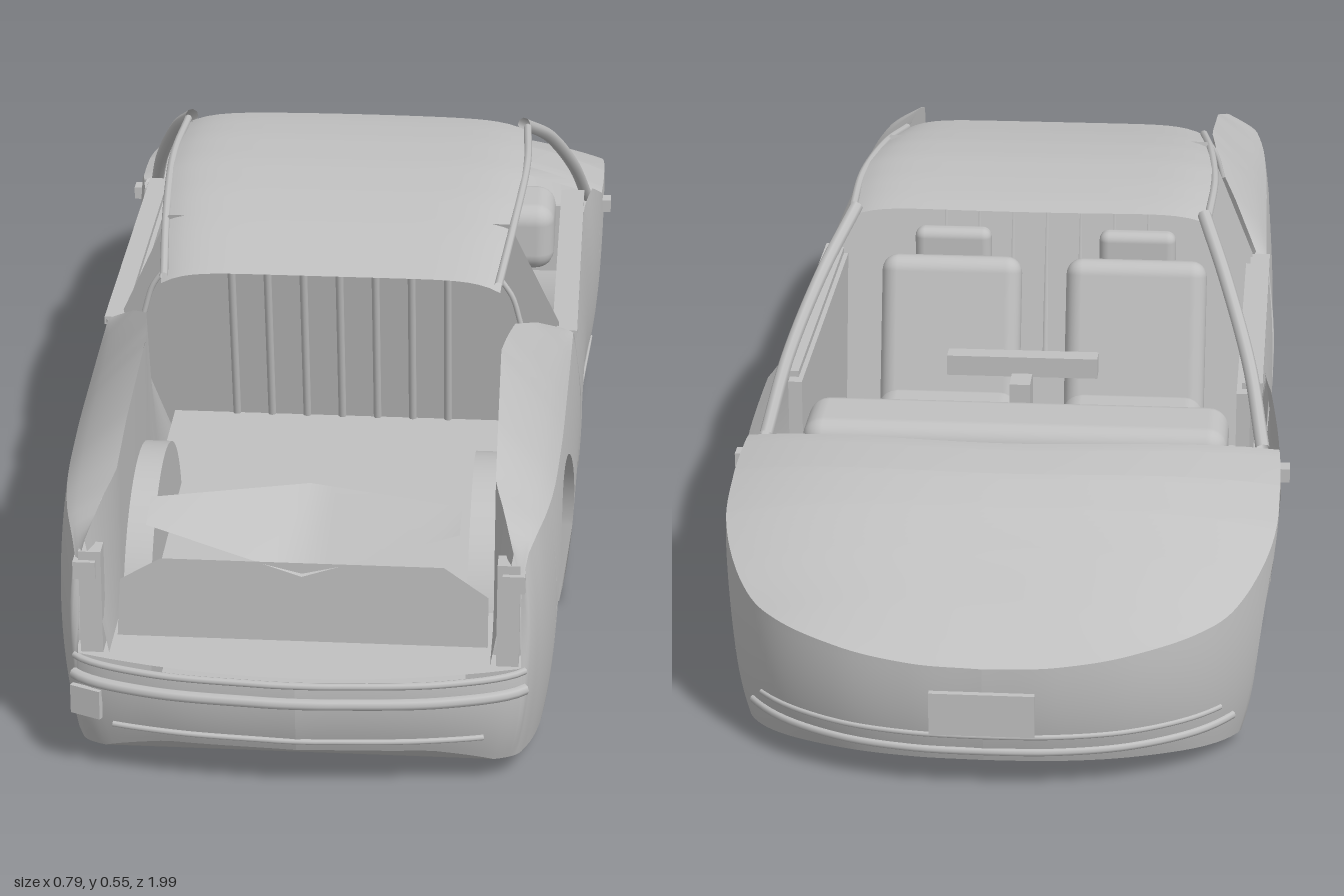
import * as THREE from 'three';
import { RoundedBoxGeometry } from 'three/addons/geometries/RoundedBoxGeometry.js';

const paint = new THREE.MeshStandardMaterial({ color: 0xc0c0c0, side: THREE.DoubleSide });
paint.name = 'light grey';

const range = (a, b, n) => Array.from({ length: n + 1 }, (_, i) => a + (b - a) * i / n);
const mix = THREE.MathUtils.lerp;
const smooth = THREE.MathUtils.smoothstep;

// Piecewise linear value through [z, value] pairs
function along(pairs, z) {
  if (z <= pairs[0][0]) return pairs[0][1];
  for (let i = 1; i < pairs.length; i++) {
    const [a, p] = pairs[i - 1], [b, q] = pairs[i];
    if (z <= b) return mix(p, q, (z - a) / (b - a));
  }
  return pairs[pairs.length - 1][1];
}

// Grid surface from f(u, v) -> [x, y, z]
function sheet(us, vs, f) {
  const pos = [], idx = [], n = vs.length;
  for (const u of us) for (const v of vs) pos.push(...f(u, v));
  for (let i = 0; i < us.length - 1; i++) for (let j = 0; j < n - 1; j++) {
    const a = i * n + j;
    idx.push(a, a + 1, a + n, a + 1, a + n + 1, a + n);
  }
  const g = new THREE.BufferGeometry();
  g.setAttribute('position', new THREE.Float32BufferAttribute(pos, 3));
  g.setIndex(idx);
  g.computeVertexNormals();
  return g;
}

// Plan outline of one side, nose to tail
const outline = new THREE.CatmullRomCurve3([
  [0, -0.994], [0.1, -0.988], [0.2, -0.962], [0.29, -0.903], [0.35, -0.82], [0.382, -0.72], [0.388, -0.6],
  [0.384, -0.45], [0.37, -0.25], [0.366, 0.1], [0.361, 0.4], [0.356, 0.6], [0.346, 0.76], [0.326, 0.87],
  [0.302, 0.925], [0.2, 0.967], [0, 0.988],
].map(([x, z]) => new THREE.Vector3(x, 0, z)));

function tAt(z) {
  let lo = 0, hi = 1;
  for (let i = 0; i < 30; i++) {
    const m = (lo + hi) / 2;
    if (outline.getPoint(m).z < z) lo = m; else hi = m;
  }
  return lo;
}

const bottom = z => along([[-1, 0.045], [-0.9, 0.03], [-0.8, 0.015], [-0.4, 0.012], [0, 0.012], [0.4, 0.002], [0.7, 0.015], [0.9, 0.033], [0.94, 0.04], [0.97, 0.065], [1, 0.07]], z);
const hoodLine = z => along([[-1, 0.185], [-0.96, 0.208], [-0.9, 0.238], [-0.8, 0.278], [-0.7, 0.31], [-0.6, 0.33], [-0.5, 0.337], [-0.45, 0.335]], z);
const crown = z => 0.035 * smooth(z, -1, -0.85);
const shoulder = z => z < -0.48 ? hoodLine(z) - crown(z)
  : along([[-0.48, 0.302], [-0.43, 0.325], [-0.38, 0.35], [0.85, 0.352], [0.912, 0.335], [0.925, 0.18], [1, 0.178]], z);
const fenderLine = z => along([[0.2, 0.358], [0.3, 0.41], [0.38, 0.442], [0.45, 0.453], [0.52, 0.455], [0.7, 0.425], [0.85, 0.38], [0.92, 0.345]], z);
const fenderInner = z => along([[0.2, 0.33], [0.38, 0.265], [0.5, 0.25], [0.8, 0.255], [0.92, 0.285]], z);

// Round wheel arches with straight lower ends
const arches = [{ z: -0.612, r: 0.182, y: 0.103 }, { z: 0.582, r: 0.193, y: 0.122 }];
const wellX = 0.217;
const archY = (a, z) => {
  const d = Math.abs(z - a.z) / a.r;
  return d > 0.9998 ? bottom(z) : a.y + a.r * Math.sqrt(1 - d * d);
};
const archZ = a => [a.z - a.r * 1.0005, ...range(0, Math.PI, 36).map(q => a.z - a.r * 0.9995 * Math.cos(q)), a.z + a.r * 1.0005];
const lowEdge = z => Math.max(bottom(z), ...arches.map(a => archY(a, z)));

// Body surface with tucked sill and shoulder, fuller at the front fenders
function skin(t, y) {
  const p = outline.getPoint(t), b = bottom(p.z), top = Math.max(shoulder(p.z), 0.25);
  const f = THREE.MathUtils.clamp((y - b) / (top - b), 0, 1);
  const tuck = mix(0.015, 0.05, smooth(p.z, -0.5, -0.3)) * f ** 3 + 0.065 * (1 - f) ** 3;
  const end = smooth(Math.abs(p.z), 0.8, 0.98);
  return [p.x * (1 - tuck), y, p.z * (1 - tuck * 0.4 * end)];
}

const stations = [...range(0, 1, 130), tAt(-0.48), tAt(0.912), tAt(0.925),
  ...arches.flatMap(a => archZ(a).map(tAt))].sort((p, q) => p - q);

export function createModel() {
  const model = new THREE.Group();
  const add = (name, geo, x = 0, y = 0, z = 0) => {
    const m = new THREE.Mesh(geo, paint);
    m.name = name;
    m.position.set(x, y, z);
    model.add(m);
    return m;
  };
  const box = (name, w, h, d, x, y, z) => add(name, new THREE.BoxGeometry(w, h, d), x, y, z);
  const soft = (name, w, h, d, x, y, z, r = 0.02) => add(name, new RoundedBoxGeometry(w, h, d, 3, r), x, y, z);
  const tube = (name, pts, r) => add(name, new THREE.TubeGeometry(
    new THREE.CatmullRomCurve3(pts.map(p => new THREE.Vector3(...p))), 40, r, 8));

  for (const s of [-1, 1]) {
    const side = s > 0 ? 'left' : 'right';
    const mirror = ([x, y, z]) => [x * s, y, z];

    // Outer side panel from nose to tail, cut by the wheel arches
    add(side + 'SidePanel', sheet(stations, range(0, 1, 14), (t, v) => {
      const z = outline.getPoint(t).z;
      return mirror(skin(t, mix(lowEdge(z), shoulder(z), v)));
    }));

    // Rear fender top and engine bay wall
    add(side + 'RearFender', sheet(range(0.2, 0.915, 36), range(0, 1, 8), (z, v) => {
      const [x, y] = skin(tAt(z), shoulder(z));
      return mirror([mix(x, fenderInner(z), v), mix(y, fenderLine(z), Math.pow(v, 0.85)), z]);
    }));
    add(side + 'BayWall', sheet(range(0.2, 0.915, 30), [0, 1], (z, v) =>
      mirror([mix(fenderInner(z), 0.255, v), mix(fenderLine(z), 0.18, v), z])));
    box(side + 'TailLampPost', 0.03, 0.15, 0.03, s * 0.278, 0.255, 0.9);
    box(side + 'LatchBlock', 0.03, 0.025, 0.02, s * 0.285, 0.305, 0.912);

    // Wheel wells
    for (const a of arches) {
      const name = side + (a.z < 0 ? 'Front' : 'Rear') + 'WheelWell';
      add(name, sheet(archZ(a), [0, 1], (z, v) => {
        const y = archY(a, z);
        return mirror([mix(wellX, skin(tAt(z), y)[0], v), y, z]);
      }));
      add(name + 'Wall', sheet(archZ(a), [0, 1], (z, v) => mirror([wellX, mix(bottom(z), archY(a, z), v), z])));
    }

    // Door seam and trim
    const seam = [[0.2, 0.35], [0.165, 0.23], [0.125, 0.1], [0.11, 0.088], [-0.15, 0.08], [-0.42, 0.07]];
    tube(side + 'DoorSeam', seam.map(([z, y]) => mirror(skin(tAt(z), y))), 0.0025);
    box(side + 'DoorTop', 0.03, 0.012, 0.56, s * 0.337, 0.348, -0.08);
    box(side + 'DoorTrim', 0.02, 0.25, 0.56, s * 0.325, 0.22, -0.1);
    box(side + 'FenderStud', 0.02, 0.02, 0.025, s * 0.385, 0.275, -0.5);

    // Roof pillars
    tube(side + 'FrontPillar', [[0.355, 0.3, -0.47], [0.334, 0.385, -0.385], [0.297, 0.475, -0.28], [0.258, 0.541, -0.16]].map(mirror), 0.01);
    tube(side + 'RoofRail', [[0.264, 0.536, -0.16], [0.268, 0.538, 0], [0.256, 0.524, 0.2], [0.24, 0.496, 0.37]].map(mirror), 0.006);
    tube(side + 'RearStrut', [[0.242, 0.498, 0.35], [0.26, 0.47, 0.35], [0.272, 0.43, 0.35]].map(mirror), 0.004);

    // Seats
    soft(side + 'SeatCushion', 0.22, 0.09, 0.24, s * 0.145, 0.12, -0.04, 0.03);
    soft(side + 'SeatBack', 0.22, 0.27, 0.055, s * 0.145, 0.23, 0.105, 0.025).rotation.x = 0.28;
    soft(side + 'Headrest', 0.12, 0.06, 0.035, s * 0.145, 0.37, 0.162, 0.015);
  }

  // Hood, curved back around the windscreen opening
  add('hood', sheet(stations.filter(t => t <= tAt(-0.48) + 1e-6), range(-1, 1, 32), (t, u) => {
    const z = outline.getPoint(t).z, [x, y, zz] = skin(t, shoulder(z));
    const w = 1 - Math.abs(u) ** 3;
    return [x * u, y + crown(z) * w, zz - 0.09 * (1 - u * u) * smooth(z, -0.85, -0.48)];
  }));
  add('cowl', sheet(range(-1, 1, 24), [0, 1], (u, v) =>
    [0.36 * u, mix(0.325 - 0.025 * u * u, 0.27, v), mix(-0.48 - 0.09 * (1 - u * u), -0.46, v)]));

  // Floor pan, narrowed between the wheel wells
  add('underbody', sheet(stations, range(-1, 1, 8), (t, u) => {
    const z = outline.getPoint(t).z, [x, y, zz] = skin(t, bottom(z));
    return [u * (arches.some(a => Math.abs(z - a.z) < a.r * 0.9998) ? wellX : x), y, zz];
  }));

  // Roof
  const roofLine = z => along([[-0.17, 0.543], [-0.12, 0.55], [-0.05, 0.555], [0.05, 0.555], [0.15, 0.547], [0.25, 0.532], [0.38, 0.507]], z);
  add('roof', sheet(range(-0.165, 0.38, 24), range(-1, 1, 32), (z, u) => {
    const w = along([[-0.17, 0.268], [0.05, 0.272], [0.38, 0.243]], z);
    return [u * w, roofLine(z) - 0.018 * Math.abs(u) ** 8, z - 0.012 * (1 - u * u) * smooth(-z, 0, 0.16)];
  }));

  // Ribbed bulkhead behind the seats
  add('bulkhead', sheet([-1, 1], [0.03, 0.36, 0.53], (u, y) =>
    [u * along([[0.03, 0.32], [0.36, 0.325], [0.53, 0.25]], y), y, 0.185 + (y - 0.36) * 0.22]));
  for (const x of range(-0.16, 0.16, 6)) {
    const rib = add('bulkheadRib', new THREE.CylinderGeometry(0.006, 0.006, 0.34, 10), x, 0.345, 0.187);
    rib.rotation.x = 0.22;
  }

  // Engine bay: low floor, rear panel and sloping cover with a pointed rear edge
  add('bayFloor', sheet([-0.255, 0.255], [0.15, 0.9], (x, z) => [x, 0.18, z]));
  add('tailShelf', sheet(range(-1, 1, 12), [0, 1], (u, v) => [u * 0.3, 0.178, mix(0.88, 0.965 - 0.05 * u * u, v)]));
  const panel = new THREE.Shape([[-0.25, 0.18], [0.25, 0.18], [0.25, 0.255], [0.19, 0.298], [-0.19, 0.298], [-0.245, 0.265]]
    .map(p => new THREE.Vector2(...p)));
  add('bayRearPanel', new THREE.ShapeGeometry(panel), 0, 0, 0.865);
  add('bayCover', sheet(range(-1, 1, 12), [0, 1], (u, v) => {
    const point = 1 - Math.abs(u);
    return [u * 0.21, mix(0.352 - 0.006 * point, 0.34 - 0.06 * point, v), mix(0.79 - 0.07 * point, 0.85 + 0.02 * point, v)];
  }));

  // Cabin floor, firewall and dashboard
  box('cabinFloor', 0.64, 0.02, 0.62, 0, 0.05, -0.14);
  box('firewall', 0.68, 0.26, 0.01, 0, 0.16, -0.45);
  soft('dashboard', 0.61, 0.11, 0.13, 0, 0.265, -0.415, 0.03);
  box('dashDisplay', 0.22, 0.03, 0.03, 0, 0.35, -0.295);
  box('displayStem', 0.03, 0.05, 0.06, 0, 0.315, -0.325);

  // Bumper bands wrapped around nose and tail
  const band = (name, t0, t1, y, r, out = 0) => {
    const half = range(t0, t1, 14).map(t => skin(t, y)).map(([x, h, z]) => [x, h, z + out]);
    const inner = half.filter(p => p[0] > 0.001).sort((p, q) => q[0] - p[0]);
    tube(name, [...inner.map(([x, h, z]) => [-x, h, z]), ...inner.reverse()], r);
  };
  band('tailUpperBand', tAt(0.92), 1, 0.15, 0.008, 0.004);
  band('tailTopLip', tAt(0.92), 1, 0.175, 0.005);
  band('tailLowerBand', tAt(0.95), 1, 0.085, 0.004, 0.002);
  band('noseLip', 0, tAt(-0.84), 0.06, 0.006);
  band('noseGrilleBand', 0, tAt(-0.87), 0.085, 0.004);

  // Plates on the bumpers
  box('nosePlate', 0.14, 0.06, 0.009, 0, 0.125, -0.9955);
  box('towCover', 0.045, 0.042, 0.008, -0.285, 0.115, 0.934).rotation.y = -0.4;
  return model;
}
